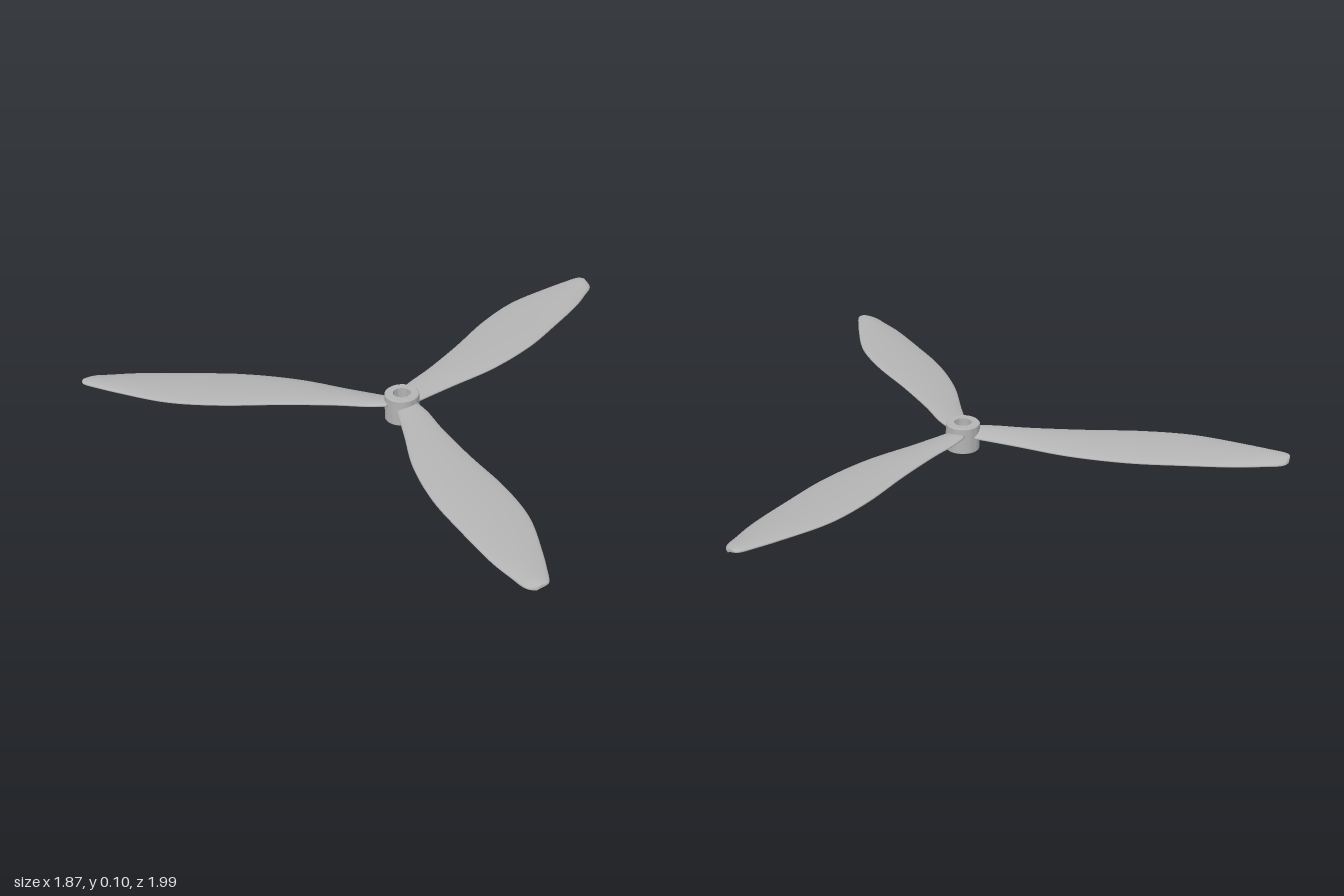
import * as THREE from 'three';
import { toCreasedNormals, mergeVertices } from 'three/addons/utils/BufferGeometryUtils.js';

const HUB = { x: -0.209, z: -0.084, outer: 0.061, inner: 0.031, height: 0.1 };

// Blade planform: distance from the hub axis, trailing edge z, leading edge z
const PLAN = [
  [0.036, -0.05, 0.03], [0.1, -0.07, 0.034], [0.21, -0.09, 0.042], [0.4, -0.138, 0.058],
  [0.61, -0.2, 0.042], [0.79, -0.228, 0.0], [0.98, -0.213, -0.053], [1.07, -0.2, -0.09],
  [1.11, -0.193, -0.107], [1.13, -0.186, -0.123], [1.139, -0.172, -0.145],
];

// Loft rounded, slightly pitched sections along the span
function bladeGeometry() {
  const curve = new THREE.CatmullRomCurve3(PLAN.map((p) => new THREE.Vector3(...p)));
  const spans = 70, around = 28, pos = [], index = [];
  for (let i = 0; i <= spans; i++) {
    const p = curve.getPoint(i / spans);
    const mid = (p.y + p.z) / 2, half = (p.z - p.y) / 2;
    const taper = Math.min(1, Math.sqrt(Math.max(0, 1.141 - p.x) / 0.03));
    const thick = 0.0095 * (0.4 + 0.6 * taper);
    for (let j = 0; j < around; j++) {
      const a = (j / around) * Math.PI * 2;
      const c = Math.cos(a), s = Math.sin(a);
      const camber = 0.004 * (1 - c * c);
      const y = 0.062 - 0.006 * c + camber + thick * Math.sign(s) * Math.pow(Math.abs(s), 0.8);
      pos.push(p.x, y, mid + half * c);
    }
  }
  for (let i = 0; i < spans; i++) {
    for (let j = 0; j < around; j++) {
      const k = (j + 1) % around;
      const a = i * around + j, b = a + around, c = i * around + k, d = c + around;
      index.push(a, b, c, b, d, c);
    }
  }
  // Close the root and the tip
  const end = spans * around;
  for (let j = 1; j < around - 1; j++) {
    index.push(0, j, j + 1);
    index.push(end, end + j + 1, end + j);
  }
  const g = new THREE.BufferGeometry();
  g.setAttribute('position', new THREE.Float32BufferAttribute(pos, 3));
  g.setIndex(index);
  g.computeVertexNormals();
  return g;
}

export function createModel() {
  const model = new THREE.Group();
  model.name = 'propeller';
  const grey = new THREE.MeshStandardMaterial({ color: 0xb4b4b4 });
  grey.name = 'grey';

  const rotor = new THREE.Group();
  rotor.name = 'rotor';
  rotor.position.set(HUB.x, 0, HUB.z);
  model.add(rotor);

  // Hub sleeve with a through bore
  const { inner, outer, height } = HUB;
  const profile = [
    [inner, 0], [outer - 0.003, 0], [outer, 0.003], [outer, height - 0.003],
    [outer - 0.003, height], [inner, height], [inner, 0],
  ].map(([r, y]) => new THREE.Vector2(r, y));
  const lathe = new THREE.LatheGeometry(profile, 48);
  lathe.deleteAttribute('normal');
  lathe.deleteAttribute('uv');
  const hub = new THREE.Mesh(toCreasedNormals(mergeVertices(lathe), 0.6), grey);
  hub.name = 'hub';
  rotor.add(hub);

  // Three identical blades
  const geometry = bladeGeometry();
  for (let i = 0; i < 3; i++) {
    const blade = new THREE.Mesh(geometry, grey);
    blade.name = `blade${i + 1}`;
    blade.rotation.y = (i * Math.PI * 2) / 3;
    rotor.add(blade);
  }
  return model;
}
